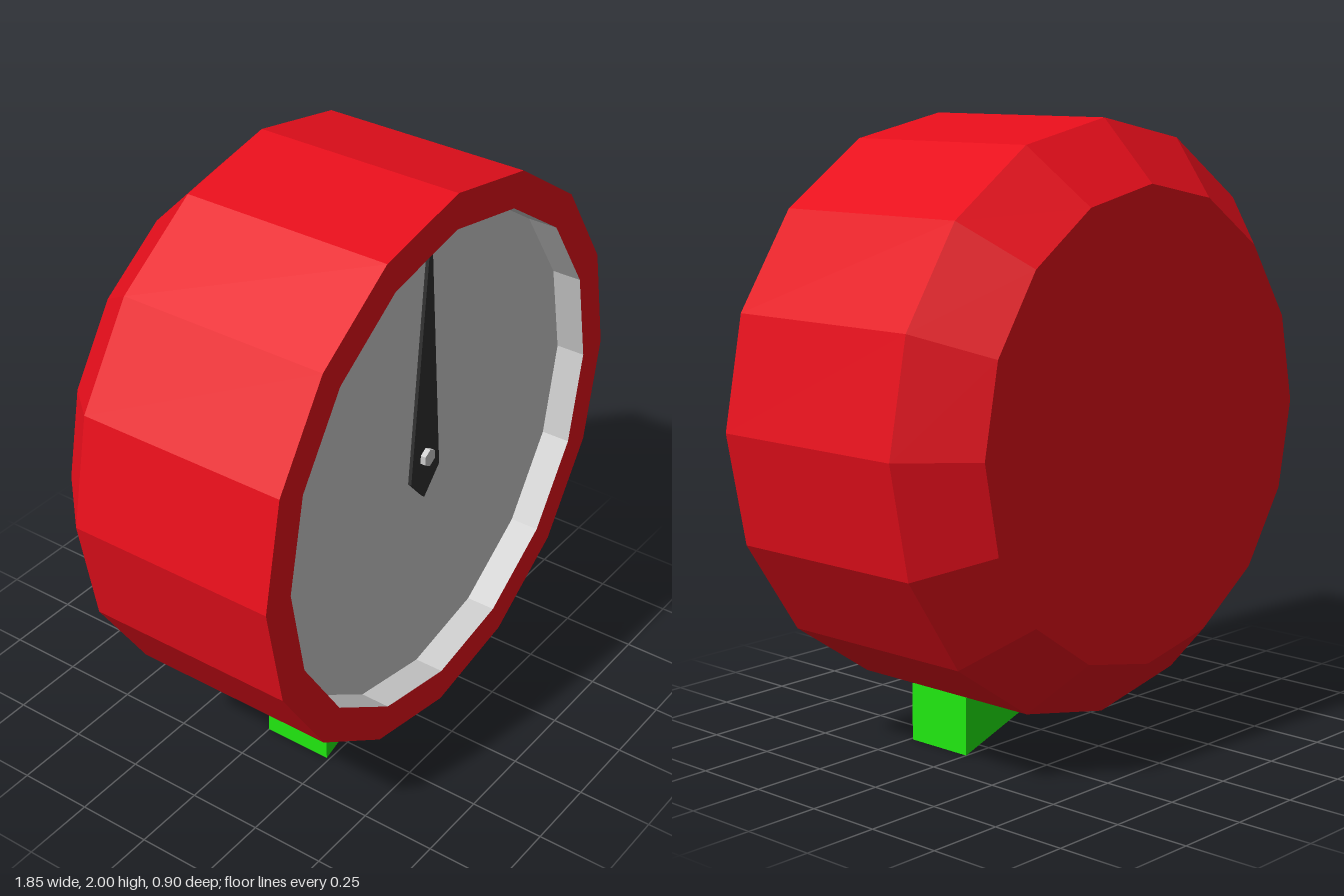
import * as THREE from 'three';

const SIDES = 16;
const CENTER_Y = 1.06;

const paint = (color) => new THREE.MeshStandardMaterial({ color, flatShading: true });

// Revolve [radius, z] points about the z axis, slightly taller than wide
function turned(name, profile, material) {
  const geometry = new THREE.LatheGeometry(profile.map(([r, z]) => new THREE.Vector2(r, z)), SIDES);
  geometry.rotateX(Math.PI / 2);
  geometry.scale(1, 0.94 / 0.925, 1);
  const mesh = new THREE.Mesh(geometry, material);
  mesh.name = name;
  mesh.position.y = CENTER_Y;
  return mesh;
}

// Extrude an outline of [x, y] points forward from z
function slab(name, outline, z, depth, material) {
  const shape = new THREE.Shape(outline.map(([x, y]) => new THREE.Vector2(x, y)));
  const geometry = new THREE.ExtrudeGeometry(shape, { depth, bevelEnabled: false });
  const mesh = new THREE.Mesh(geometry, material);
  mesh.name = name;
  mesh.position.z = z;
  return mesh;
}

export function createModel() {
  const model = new THREE.Group();
  model.name = 'gauge';
  const red = paint(0xe60e1b);
  const grey = paint(0xcccccc);
  const black = paint(0x303030);
  const green = paint(0x20ea10);

  // Housing: flat back, chamfer, barrel and front rim
  model.add(turned('housing',
    [[0, -0.45], [0.735, -0.45], [0.925, -0.26], [0.925, 0.45], [0.81, 0.45]], red));

  // Recessed dial with its inner wall
  model.add(turned('dial', [[0.81, 0.45], [0.81, 0.35], [0, 0.35]], grey));

  // Pointer
  model.add(slab('needle',
    [[0, 0.905], [0.08, 0.99], [0.004, 1.83], [-0.004, 1.83], [-0.075, 0.99]], 0.35, 0.012, black));

  // Hexagonal pivot pin
  const pin = new THREE.Mesh(new THREE.CylinderGeometry(0.03, 0.03, 0.03, 6), grey);
  pin.name = 'pivotPin';
  pin.rotation.x = Math.PI / 2;
  pin.position.set(0, CENTER_Y, 0.365);
  model.add(pin);

  // Wedge feet under the lowest two facets
  for (const [name, s] of [['leftFoot', 1], ['rightFoot', -1]]) {
    model.add(slab(name, [[0, 0.12], [s * 0.354, 0], [s * 0.354, 0.19]], 0, 0.24, green));
  }

  return model;
}
